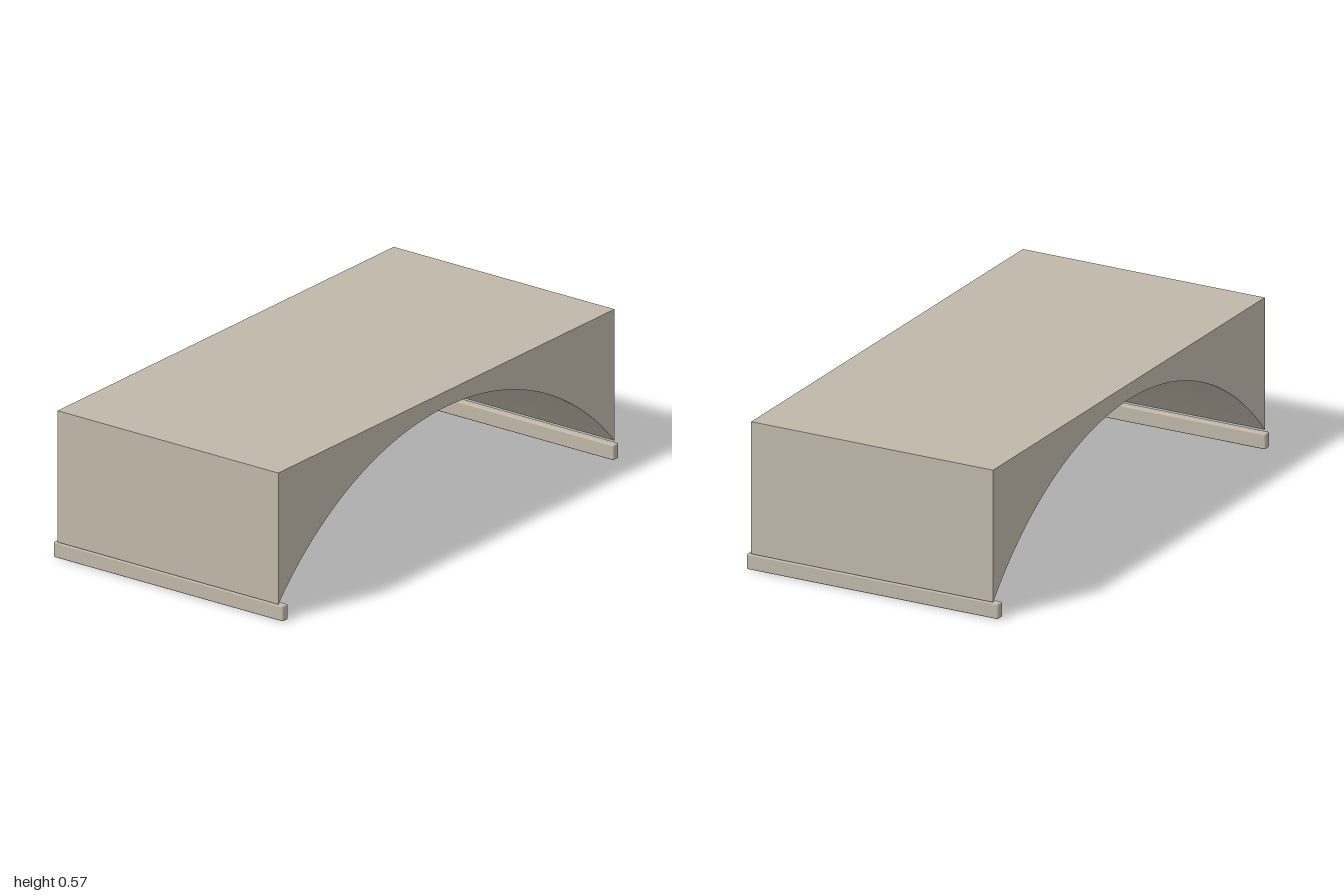
import * as THREE from 'three';
import { toCreasedNormals } from 'three/addons/utils/BufferGeometryUtils.js';
import { RoundedBoxGeometry } from 'three/addons/geometries/RoundedBoxGeometry.js';

const WIDTH = 1, SPRING = 0.063, APEX = 0.513, TOP = 0.573;

export function createModel() {
  const model = new THREE.Group();
  model.name = 'archBridge';

  const stone = new THREE.MeshStandardMaterial({ color: 0xbfb7a8 });
  stone.name = 'stone';

  // Solid span: flat deck and end walls, with a circular arch cut from below
  const rise = APEX - SPRING;
  const radius = (1 + rise * rise) / (2 * rise);
  const centreY = APEX - radius;
  const startAngle = Math.atan2(SPRING - centreY, 1);
  const profile = new THREE.Shape();
  profile.moveTo(-1, SPRING);
  profile.absarc(0, centreY, radius, Math.PI - startAngle, startAngle, true);
  profile.lineTo(1, TOP);
  profile.lineTo(-1, TOP);
  profile.closePath();
  const spanGeometry = new THREE.ExtrudeGeometry(profile, {
    depth: WIDTH, bevelEnabled: false, curveSegments: 48,
  });
  spanGeometry.translate(0, 0, -WIDTH / 2).rotateY(Math.PI / 2);
  const span = new THREE.Mesh(toCreasedNormals(spanGeometry, 0.4), stone);
  span.name = 'archSpan';
  model.add(span);

  // Soft-edged footing bar under each end
  const height = 0.06, depth = 0.033;
  const footingGeometry = new RoundedBoxGeometry(1.04, height, depth, 2, 0.006);
  for (const [name, side] of [['frontFooting', 1], ['backFooting', -1]]) {
    const footing = new THREE.Mesh(footingGeometry, stone);
    footing.name = name;
    footing.position.set(0, height / 2, side * (1 - depth / 2));
    model.add(footing);
  }

  return model;
}
